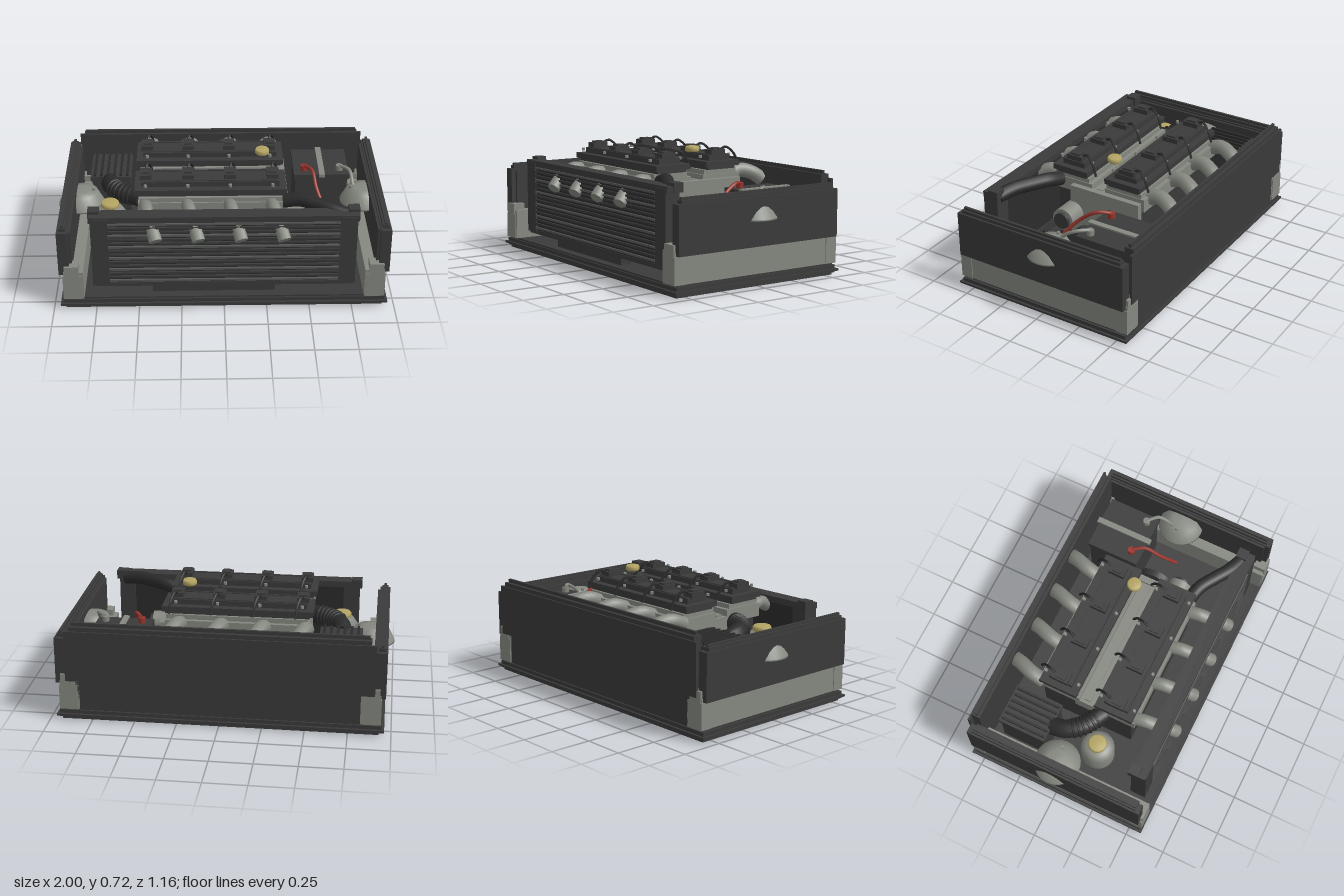
import * as THREE from 'three';

const mat = (name, color) => new THREE.MeshStandardMaterial({ name, color });

export function createModel() {
  const g = new THREE.Group();
  g.name = 'engineBay';
  const dark = mat('darkPlastic', 0x3a3a3a);
  const black = mat('blackRubber', 0x2b2b2b);
  const metal = mat('greyMetal', 0x858880);
  const fin = mat('finGrey', 0x555755);
  const gold = mat('goldCap', 0xb3a463);
  const red = mat('redCable', 0x96342c);

  const add = (name, geo, m, x = 0, y = 0, z = 0) => {
    const mesh = new THREE.Mesh(geo, m);
    mesh.name = name;
    mesh.position.set(x, y, z);
    g.add(mesh);
    return mesh;
  };
  // Box from its extents
  const box = (name, m, x0, x1, y0, y1, z0, z1) =>
    add(name, new THREE.BoxGeometry(x1 - x0, y1 - y0, z1 - z0), m, (x0 + x1) / 2, (y0 + y1) / 2, (z0 + z1) / 2);
  // Box mirrored to both sides
  const pair = (name, m, x0, x1, ...r) => {
    box(name, m, x0, x1, ...r);
    box(name, m, -x1, -x0, ...r);
  };
  const cyl = (name, m, x, y, z, r, h, n = 20, rTop = r) =>
    add(name, new THREE.CylinderGeometry(rTop, r, h, n), m, x, y, z);
  const lathe = (name, m, pts, x, y, z, n = 24) =>
    add(name, new THREE.LatheGeometry(pts.map(p => new THREE.Vector2(...p)), n), m, x, y, z);
  // Round pipe with closed ends
  const pipe = (name, m, pts, r, seg = 14, rad = 10) => {
    const v = pts.map(p => new THREE.Vector3(...p));
    const curve = new THREE.CatmullRomCurve3(v);
    add(name, new THREE.TubeGeometry(curve, seg, r, rad), m);
    for (const t of [0, 1]) {
      const end = add(name + 'End', new THREE.CircleGeometry(r, rad), m);
      end.position.copy(curve.getPoint(t));
      end.lookAt(end.position.clone().addScaledVector(curve.getTangent(t), t ? 1 : -1));
    }
    return curve;
  };

  // Base tray with stepped rim
  box('baseTray', dark, -0.93, 0.93, 0, 0.07, -0.555, 0.555);
  box('baseRim', dark, -0.945, 0.945, 0.015, 0.06, -0.565, 0.565);
  box('baseLip', dark, -0.96, 0.96, 0.025, 0.038, -0.58, 0.58);

  // Side rails, corner posts and upper side panels
  pair('sideRail', metal, 0.82, 0.935, 0.07, 0.25, -0.57, 0.57);
  for (const s of [-1, 1]) {
    const z0 = s > 0 ? 0.5 : -0.575, z1 = s > 0 ? 0.575 : -0.5;
    pair('cornerPost', metal, 0.83, 0.94, 0.07, 0.225, z0, z1);
    pair('cornerPostTop', metal, 0.845, 0.93, 0.225, 0.29, z0, z1);
  }
  pair('sidePanel', dark, 0.9, 0.962, 0.23, 0.51, -0.56, 0.56);
  pair('sidePanelUpper', dark, 0.91, 0.95, 0.51, 0.53, -0.535, 0.535);
  pair('sidePanelRidge', dark, 0.922, 0.938, 0.53, 0.545, -0.53, 0.53);
  pair('sidePanelInner', dark, 0.885, 0.9, 0.25, 0.5, -0.53, 0.53);

  // Rear wall
  box('rearWall', dark, -0.87, 0.87, 0.07, 0.585, -0.57, -0.515);
  box('rearWallRidge', dark, -0.86, 0.86, 0.585, 0.606, -0.548, -0.532);
  box('rearWallFlange', dark, -0.9, 0.9, 0.25, 0.56, -0.58, -0.565);

  // Strut towers
  for (const s of [-1, 1]) {
    const x = s * 0.86;
    lathe('strutTower', metal, [[0, 0.375], [0.14, 0.375], [0.138, 0.385], [0.1, 0.458], [0.05, 0.468], [0, 0.47]], x, 0, -0.02);
    for (let i = 0; i < 3; i++) {
      const a = i * Math.PI * 2 / 3 + (s > 0 ? Math.PI : 0);
      cyl('towerBolt', metal, x + 0.075 * Math.cos(a), 0.468, -0.02 + 0.075 * Math.sin(a), 0.01, 0.02, 8);
    }
  }

  // Radiator: frame, core, fins and tank
  pair('radiatorEndTank', dark, 0.67, 0.77, 0.125, 0.57, 0.42, 0.515);
  box('radiatorTopTank', dark, -0.78, 0.78, 0.545, 0.582, 0.42, 0.51);
  box('radiatorBottomTank', dark, -0.75, 0.75, 0.115, 0.14, 0.42, 0.51);
  box('radiatorFoot', dark, -0.42, 0.3, 0.07, 0.115, 0.43, 0.5);
  box('radiatorCore', black, -0.67, 0.67, 0.14, 0.545, 0.43, 0.505);
  for (let i = 0; i < 16; i++) {
    const y = 0.15 + i * 0.0255;
    box('radiatorFin', i % 3 ? dark : fin, -0.67, 0.67, y, y + 0.012, 0.505, 0.517);
  }
  pair('radiatorBracket', dark, 0.72, 0.785, 0.545, 0.6, 0.405, 0.47);

  // Engine block, heads and valley
  box('engineBlock', dark, -0.48, 0.34, 0.12, 0.5, -0.3, 0.28);
  box('valley', metal, -0.5, 0.35, 0.42, 0.52, -0.08, 0.07);
  box('valleyRail', metal, -0.48, 0.34, 0.52, 0.535, -0.025, 0.015);
  box('timingCover', metal, 0.345, 0.385, 0.2, 0.535, -0.3, 0.17);
  for (const zc of [0.18, -0.18]) {
    box('cylinderHead', metal, -0.5, 0.35, 0.48, 0.56, zc - 0.14, zc + 0.13);
    box('headUpper', metal, -0.49, 0.345, 0.56, 0.588, zc - 0.115, zc + 0.12);
    box('valveCoverBase', dark, -0.5, 0.355, 0.588, 0.605, zc - 0.1, zc + 0.1);
    box('valveCoverFlange', dark, -0.52, 0.37, 0.605, 0.638, zc - 0.12, zc + 0.12);
    box('valveCoverTop', dark, -0.48, 0.33, 0.638, 0.67, zc - 0.075, zc + 0.075);
    for (const d of [-0.06, 0.06]) box('coverRib', dark, -0.47, 0.32, 0.67, 0.675, zc + d - 0.006, zc + d + 0.006);

    // Four cylinders per bank: coil, lead, bolts and port pipe
    for (let i = 0; i < 4; i++) {
      const x = -0.455 + i * 0.248;
      box('ignitionCoil', dark, x - 0.035, x + 0.035, 0.668, 0.7, zc - 0.05, zc + 0.05);
      box('coilCap', dark, x - 0.024, x + 0.024, 0.7, 0.71, zc - 0.03, zc + 0.03);
      pipe('coilLead', black, [[x, 0.695, zc - 0.04], [x + 0.008, 0.712, zc - 0.075], [x + 0.025, 0.675, zc - 0.12], [x + 0.035, 0.605, zc - 0.153]], 0.008, 12, 6);
      for (const d of [-0.105, 0.108]) cyl('coverBolt', metal, x, 0.663, zc + d, 0.01, 0.016, 8);
      if (zc > 0)
        pipe('frontPort', metal, [[x - 0.005, 0.54, 0.29], [x + 0.005, 0.55, 0.36], [x + 0.02, 0.52, 0.43], [x + 0.045, 0.48, 0.5], [x + 0.06, 0.44, 0.54]], 0.04);
      else
        pipe('rearPort', metal, [[x - 0.03, 0.53, -0.29], [x - 0.02, 0.56, -0.38], [x + 0.01, 0.54, -0.46], [x + 0.03, 0.5, -0.515]], 0.045);
    }
  }

  // Oil filler cap and coolant reservoir
  const capProfile = r => [[0, 0], [r * 0.85, 0], [r, 0.008], [r, 0.024], [r * 0.85, 0.034], [0, 0.034]];
  lathe('oilCap', gold, capProfile(0.043), 0.24, 0.69, -0.05);
  lathe('reservoir', metal, [[0, 0.24], [0.09, 0.24], [0.1, 0.26], [0.1, 0.4], [0.07, 0.445], [0, 0.45]], -0.675, 0, 0.155);
  lathe('reservoirCap', gold, capProfile(0.055), -0.675, 0.45, 0.155);

  // Ribbed air box and corrugated intake hose
  box('airBox', dark, -0.8, -0.57, 0.2, 0.47, -0.42, -0.14);
  box('airBoxLid', dark, -0.81, -0.56, 0.46, 0.49, -0.43, -0.13);
  for (let i = 0; i < 6; i++) {
    const x = -0.785 + i * 0.04;
    box('airBoxRib', black, x - 0.007, x + 0.007, 0.49, 0.505, -0.42, -0.14);
  }
  const intake = pipe('intakeHose', black, [[-0.69, 0.45, -0.14], [-0.68, 0.47, -0.06], [-0.62, 0.48, 0.03], [-0.49, 0.48, 0.11]], 0.055, 20, 14);
  for (let i = 0; i < 6; i++) {
    const t = 0.4 + i * 0.08;
    const ring = add('hoseRib', new THREE.TorusGeometry(0.055, 0.008, 6, 16), black);
    ring.position.copy(intake.getPointAt(t));
    ring.lookAt(ring.position.clone().add(intake.getTangentAt(t)));
  }

  // Battery with clamp strap, terminals and cables
  box('battery', dark, 0.455, 0.775, 0.1, 0.47, -0.455, -0.145);
  box('batteryLid', dark, 0.445, 0.785, 0.455, 0.49, -0.465, -0.135);
  box('batteryStrap', metal, 0.6, 0.635, 0.48, 0.5, -0.48, -0.12);
  cyl('positiveTerminal', red, 0.51, 0.505, -0.2, 0.022, 0.035, 12);
  cyl('negativeTerminal', metal, 0.73, 0.505, -0.2, 0.022, 0.035, 12);
  pipe('positiveCable', red, [[0.51, 0.52, -0.2], [0.555, 0.525, -0.13], [0.575, 0.46, -0.03], [0.62, 0.36, 0.06]], 0.011, 16, 8);
  pipe('negativeCable', metal, [[0.73, 0.52, -0.2], [0.785, 0.52, -0.14], [0.8, 0.47, -0.06], [0.82, 0.4, -0.02]], 0.011, 16, 8);

  // Alternator and pulleys on the engine end
  const side = (name, m, x, y, z, r, h) => { cyl(name, m, x, y, z, r, h, 24).rotation.z = Math.PI / 2; };
  side('alternator', metal, 0.435, 0.36, 0.15, 0.07, 0.13);
  side('alternatorPulley', dark, 0.505, 0.36, 0.15, 0.05, 0.03);
  side('crankPulley', dark, 0.495, 0.25, -0.02, 0.11, 0.04);
  side('crankShaft', dark, 0.43, 0.25, -0.02, 0.04, 0.1);

  // Upper radiator hose
  pipe('radiatorHose', black, [[0.35, 0.54, 0.26], [0.45, 0.565, 0.29], [0.55, 0.565, 0.35], [0.63, 0.56, 0.4], [0.73, 0.545, 0.44]], 0.042, 20, 12);
  return g;
}
